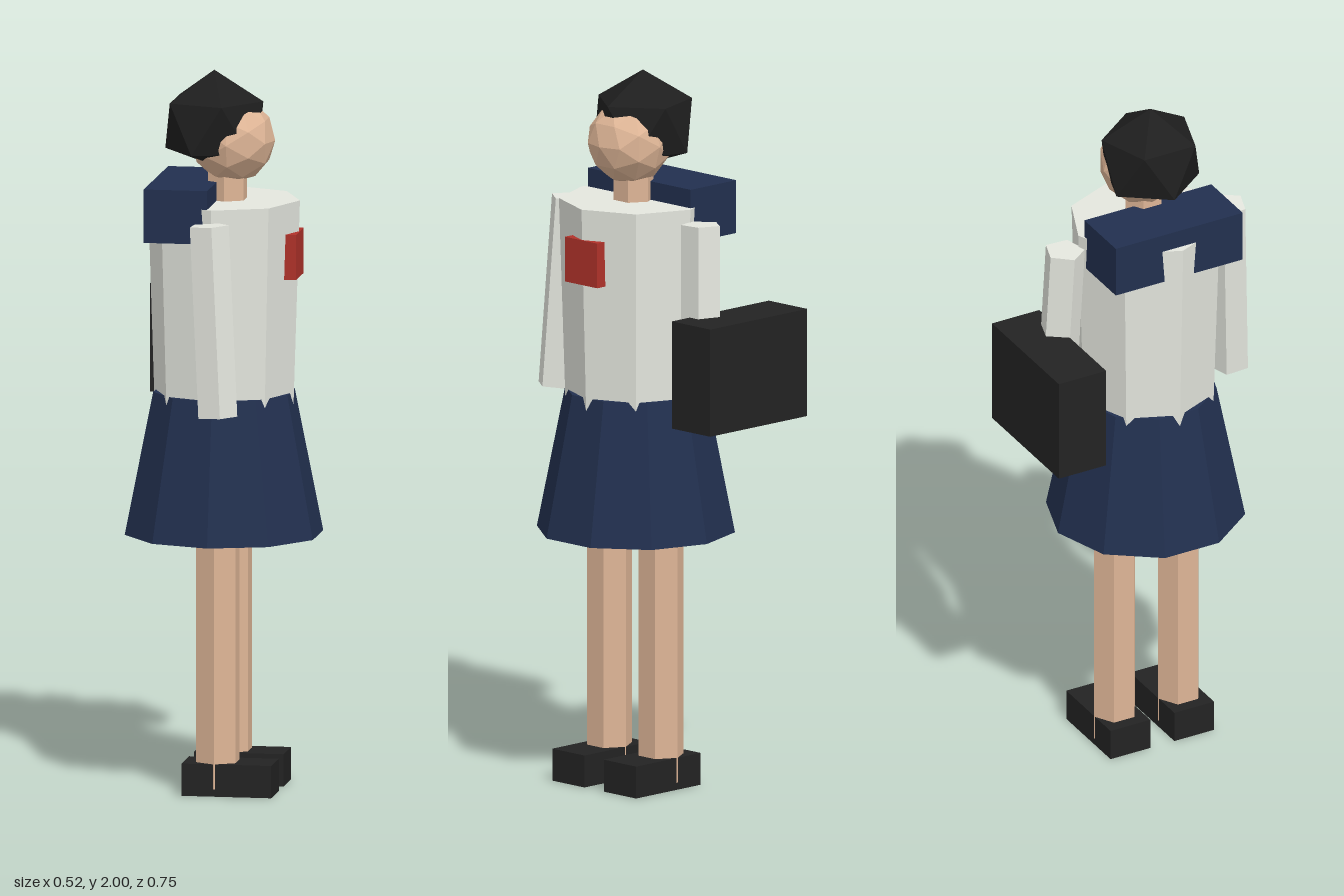
import * as THREE from 'three';

const mat = (name, color) => {
  const m = new THREE.MeshStandardMaterial({ color, flatShading: true });
  m.name = name;
  return m;
};

export function createModel() {
  const white = mat('blouse white', 0xe4e6de);
  const navy = mat('navy cloth', 0x22304f);
  const skin = mat('skin', 0xdeb596);
  const black = mat('black leather', 0x232323);
  const hairBlack = mat('hair black', 0x1e1e1e);
  const red = mat('red ribbon', 0xb0322a);

  const model = new THREE.Group();
  model.name = 'schoolgirl';
  const MID = 0.04; // the body's centre line in z; the figure faces +x

  const add = (name, geometry, material, x = 0, y = 0, z = MID) => {
    const mesh = new THREE.Mesh(geometry, material);
    mesh.name = name;
    mesh.position.set(x, y, z);
    model.add(mesh);
    return mesh;
  };
  // box given by its limits on each axis
  const box = (name, material, [x0, x1], [y0, y1], [z0, z1]) =>
    add(name, new THREE.BoxGeometry(x1 - x0, y1 - y0, z1 - z0), material,
      (x0 + x1) / 2, (y0 + y1) / 2, (z0 + z1) / 2);
  // upright faceted column from y0 to y1
  const column = (name, material, rTop, rBottom, y0, y1, sides, x, z) =>
    add(name, new THREE.CylinderGeometry(rTop, rBottom, y1 - y0, sides), material, x, (y0 + y1) / 2, z);
  // five-sided limb between two points, with one corner turned to +x or -x
  const limb = (name, material, r, top, bottom, turn) => {
    const a = new THREE.Vector3(...top), b = new THREE.Vector3(...bottom);
    const axis = a.clone().sub(b);
    const geometry = new THREE.CylinderGeometry(r, r, axis.length(), 5, 1, false, turn);
    const mesh = add(name, geometry, material);
    mesh.position.copy(a).add(b).multiplyScalar(0.5);
    mesh.quaternion.setFromUnitVectors(new THREE.Vector3(0, 1, 0), axis.normalize());
  };

  // legs and shoes
  for (const [side, z] of [['left', -0.058], ['right', 0.143]]) {
    column(side + 'Leg', skin, 0.064, 0.064, 0.02, 0.8, 6, 0, z);
    box(side + 'Shoe', black, [-0.09, 0.16], [0, 0.09], [z - 0.0625, z + 0.0625]);
  }

  // skirt and blouse
  column('skirt', navy, 0.197, 0.276, 0.71, 1.107, 10, 0, MID);
  column('blouse', white, 0.212, 0.194, 1.07, 1.642, 8, 0, MID);

  // sleeves
  limb('rightArm', white, 0.057, [0, 1.607, 0.295], [0.028, 1.078, 0.319], Math.PI / 2);
  limb('leftArm', white, 0.057, [0, 1.607, -0.215], [0.02, 1.078, -0.235], -Math.PI / 2);

  // sailor collar on the back and ribbon on the chest
  box('collar', navy, [-0.19, -0.013], [1.545, 1.694], [-0.16, 0.24]);
  box('ribbon', red, [0.14, 0.212], [1.43, 1.556], [-0.021, 0.104]);

  // neck and head
  column('neck', skin, 0.057, 0.057, 1.6, 1.74, 6, 0.01, MID);
  add('head', new THREE.IcosahedronGeometry(0.118, 1), skin, 0.025, 1.807, MID);

  // hair: icosahedron standing on a corner, its lowest corner pushed up
  const R = 0.153;
  const hair = new THREE.IcosahedronGeometry(R, 0);
  hair.rotateZ(-Math.atan(2 / (1 + Math.sqrt(5))));
  const p = hair.attributes.position;
  for (let i = 0; i < p.count; i++) if (p.getY(i) < -0.9 * R) p.setY(i, -0.75 * R);
  hair.computeVertexNormals();
  add('hair', hair, hairBlack, -0.027, 2 - R, MID);

  // school bag at the left hand
  box('bag', black, [-0.252, 0.125], [1.053, 1.355], [-0.374, -0.225]);

  return model;
}
